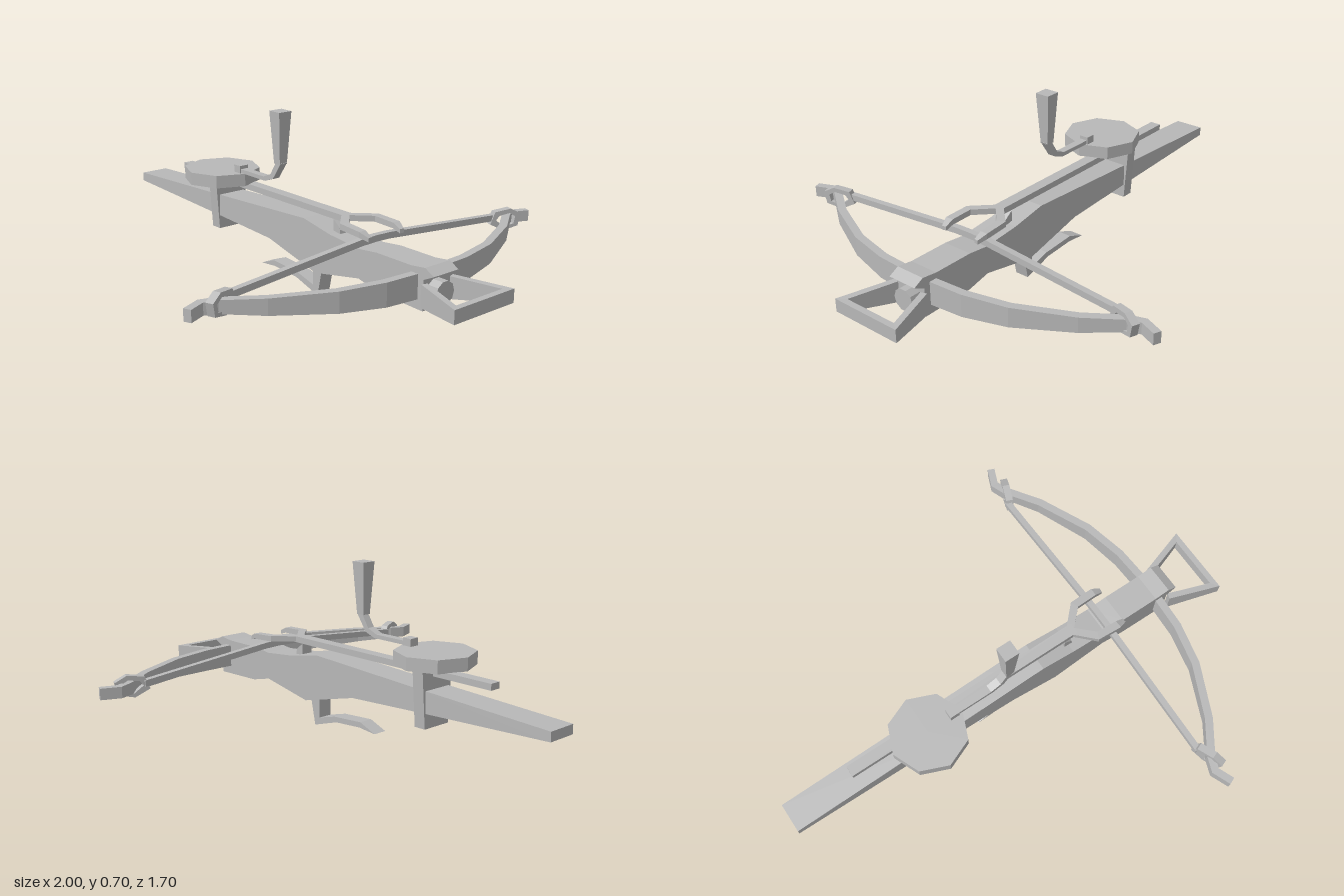
import * as THREE from 'three';

const metal = new THREE.MeshStandardMaterial({ color: 0xb8b8b8, flatShading: true });
metal.name = 'plain grey';

export function createModel() {
  const model = new THREE.Group();
  model.name = 'crossbow';

  const add = (name, geometry, x = 0, y = 0, z = 0) => {
    const mesh = new THREE.Mesh(geometry, metal);
    mesh.name = name;
    mesh.position.set(x, y, z);
    model.add(mesh);
    return mesh;
  };

  // Side profile in x/y, given thickness in z and centred on z = 0
  const slab = (points, depth, hole) => {
    const toVec = (p) => new THREE.Vector2(p[0], p[1]);
    const shape = new THREE.Shape(points.map(toVec));
    if (hole) shape.holes.push(new THREE.Path(hole.map(toVec)));
    return new THREE.ExtrudeGeometry(shape, { depth, bevelEnabled: false }).translate(0, 0, -depth / 2);
  };

  // Rectangular bar swept along [x, z, bottom y, top y, thickness] with mitred corners
  const sweep = (path) => {
    const pos = [], index = [], last = path.length - 1;
    const heading = (a, b) => new THREE.Vector2(b[0] - a[0], b[1] - a[1]).normalize();
    path.forEach((p, i) => {
      const before = heading(path[Math.max(i - 1, 0)], path[Math.max(i, 1)]);
      const after = heading(path[Math.min(i, last - 1)], path[Math.min(i + 1, last)]);
      const dir = before.clone().add(after).normalize();
      const r = p[4] / 2 / dir.dot(before);
      const nx = -dir.y * r, nz = dir.x * r;
      pos.push(p[0] + nx, p[2], p[1] + nz, p[0] + nx, p[3], p[1] + nz,
        p[0] - nx, p[3], p[1] - nz, p[0] - nx, p[2], p[1] - nz);
      if (i === last) return;
      for (let j = 0; j < 4; j++) {
        const a = i * 4 + j, b = i * 4 + (j + 1) % 4;
        index.push(a, a + 4, b + 4, a, b + 4, b);
      }
    });
    const e = last * 4;
    index.push(0, 1, 2, 0, 2, 3, e, e + 3, e + 2, e, e + 2, e + 1);
    const g = new THREE.BufferGeometry();
    g.setAttribute('position', new THREE.Float32BufferAttribute(pos, 3));
    g.setIndex(index);
    const flat = g.toNonIndexed();
    flat.computeVertexNormals();
    return flat;
  };

  // Mirrors a half path (starting at the middle) across z = 0
  const mirrored = (half) => [
    ...half.slice().reverse().map((p) => [p[0], -p[1], ...p.slice(2)]),
    ...half.filter((p) => p[1] > 0),
  ];

  // Stock
  add('stock', slab([
    [-1, 0.225], [-0.45, 0.2], [-0.06, 0.18], [0.22, 0.112], [0.46, 0.158], [0.56, 0.135],
    [0.78, 0.13], [0.78, 0.245], [0.826, 0.268], [0.785, 0.29], [0.72, 0.282], [0.55, 0.282],
    [0.46, 0.272], [0.3, 0.287], [0.15, 0.315], [-0.05, 0.305], [-0.4, 0.288], [-1, 0.262],
  ], 0.124));

  // Bow limbs with curled tips
  add('bow', sweep(mirrored([
    [0.742, 0, 0.165, 0.26, 0.032], [0.73, 0.2, 0.17, 0.26, 0.032], [0.69, 0.375, 0.182, 0.26, 0.032],
    [0.59, 0.59, 0.2, 0.26, 0.032], [0.5, 0.72, 0.212, 0.26, 0.032],
    [0.478, 0.775, 0.213, 0.258, 0.03], [0.507, 0.845, 0.213, 0.258, 0.03],
  ])));

  // String, rising over the stock
  add('bowstring', sweep(mirrored([
    [0.474, 0, 0.293, 0.318, 0.025], [0.474, 0.07, 0.291, 0.316, 0.025], [0.474, 0.67, 0.238, 0.263, 0.025],
  ])));

  // String loops hooked round the limb ends
  for (const side of [-1, 1]) {
    const loop = add('stringLoop', slab(
      [[-0.07, -0.015], [-0.01, -0.045], [0.055, -0.03], [0.066, 0.02], [0.02, 0.044], [-0.05, 0.035]], 0.03,
      [[-0.045, 0], [-0.03, 0.018], [0.015, 0.026], [0.042, 0.01], [0.036, -0.02], [-0.008, -0.028]],
    ), 0.499, 0.243, side * 0.71);
    loop.rotation.y = -side * 1.2;
  }

  // Foot stirrup and its socket
  add('stirrup', sweep([
    [0.79, -0.068, 0.15, 0.235, 0.025], [0.987, -0.133, 0.175, 0.227, 0.025],
    [0.987, 0.133, 0.175, 0.227, 0.025], [0.79, 0.068, 0.15, 0.235, 0.025],
  ]));
  add('stirrupSocket', new THREE.CylinderGeometry(0.045, 0.045, 0.06, 10).rotateZ(Math.PI / 2), 0.795, 0.195, 0);

  // Trigger lever
  add('trigger', slab([
    [0.17, 0.13], [0.17, 0.042], [0.08, 0.066], [-0.07, 0.076], [-0.15, 0.045], [-0.065, 0.053],
    [0.07, 0.044], [0.198, 0.005], [0.225, 0.13],
  ], 0.06));

  // String catch
  add('catch', slab([[0.28, 0.28], [0.28, 0.335], [0.315, 0.308], [0.32, 0.28]], 0.05));

  // Rack bar with a two pronged claw
  add('rackBar', sweep([[-0.715, 0, 0.335, 0.36, 0.046], [0.34, 0, 0.335, 0.36, 0.046]]));
  for (const side of [-1, 1]) {
    add('clawProng', sweep([
      [0.32, 0, 0.337, 0.36, 0.03], [0.402, side * 0.082, 0.337, 0.36, 0.032],
      [0.5, side * 0.086, 0.333, 0.355, 0.032], [0.535, side * 0.08, 0.322, 0.338, 0.018],
    ]));
  }

  // Mount block clasping the stock
  const mount = new THREE.BoxGeometry(0.05, 0.22, 0.16);
  const mp = mount.attributes.position;
  for (let i = 0; i < mp.count; i++) if (mp.getY(i) < 0) mp.setZ(i, mp.getZ(i) * 0.8);
  mount.computeVertexNormals();
  add('mount', mount, -0.42, 0.25, 0);

  // Gear housing
  add('gearHousing', new THREE.CylinderGeometry(0.158, 0.158, 0.052, 8), -0.387, 0.385, 0.052);

  // Crank: hub, bent arm and flared grip
  add('crankHub', new THREE.BoxGeometry(0.04, 0.035, 0.04), -0.268, 0.424, 0.043);
  add('crankArm', slab([
    [-0.28, 0.412], [-0.09, 0.412], [-0.04, 0.43], [0.008, 0.5], [-0.018, 0.505], [-0.055, 0.447],
    [-0.1, 0.428], [-0.28, 0.428],
  ], 0.032), 0, 0, 0.043);
  const grip = new THREE.CylinderGeometry(0.043, 0.025, 0.21, 4).rotateY(Math.PI / 4);
  add('crankGrip', grip, -0.012, 0.6, 0.043);

  return model;
}
